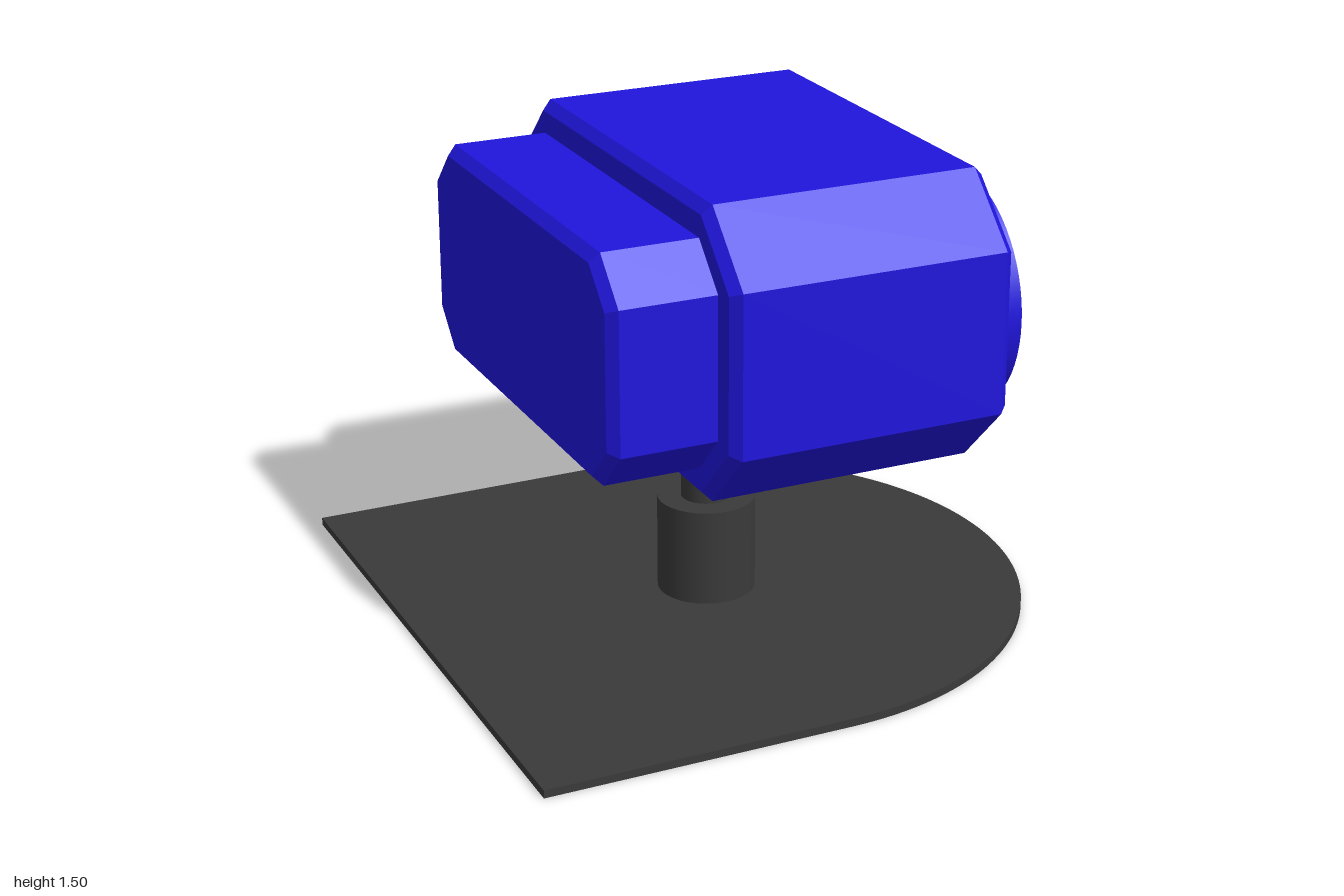
import * as THREE from 'three';

const blue = new THREE.MeshStandardMaterial({ color: 0x2015dd });
const teal = new THREE.MeshStandardMaterial({ color: 0x4f98ae });
const dark = new THREE.MeshStandardMaterial({ color: 0x393a39 });

function add(parent, name, geometry, material) {
  const mesh = new THREE.Mesh(geometry, material);
  mesh.name = name;
  parent.add(mesh);
  return mesh;
}

// Counter-clockwise rectangle with cut corners, every edge moved inward by d
function octagon(w, h, cw, ch, d) {
  const c = ch * w + cw * (h - ch) - d * Math.hypot(cw, ch);
  const W = w - d, H = h - d;
  const a = (c - cw * H) / ch, b = (c - ch * W) / cw;
  return [[W, -b], [W, b], [a, H], [-a, H], [-W, b], [-W, -b], [-a, -H], [a, -H]]
    .map(([x, y]) => new THREE.Vector2(x, y));
}

// Faceted skin through octagon sections given as [z, inset]
function octagonSkin(size, sections) {
  const pos = [], index = [];
  for (const [z, d] of sections) for (const p of octagon(...size, d)) pos.push(p.x, p.y, z);
  for (let s = 0; s < sections.length - 1; s++) {
    for (let i = 0; i < 8; i++) {
      const a = s * 8 + i, b = s * 8 + (i + 1) % 8;
      index.push(a, b, b + 8, a, b + 8, a + 8);
    }
  }
  const g = new THREE.BufferGeometry();
  g.setAttribute('position', new THREE.Float32BufferAttribute(pos, 3));
  g.setIndex(index);
  const flat = g.toNonIndexed();
  flat.computeVertexNormals();
  return flat;
}

// Flat end of an octagon block; facing = 1 or -1 along z
function octagonCap(size, inset, z, facing, holes = []) {
  const shape = new THREE.Shape(octagon(...size, inset));
  for (const [x, r] of holes) shape.holes.push(new THREE.Path().absarc(x, 0, r, 0, Math.PI * 2, true));
  const g = new THREE.ShapeGeometry(shape, 32);
  if (facing < 0) g.rotateY(Math.PI);
  return g.translate(0, 0, z);
}

// Revolved surface around the z axis from [radius, z] points
function turned(points) {
  return new THREE.LatheGeometry(points.map(([r, z]) => new THREE.Vector2(r, z)), 64).rotateX(Math.PI / 2);
}

export function createModel() {
  const model = new THREE.Group();

  // Base plate: square at the back, half round at the other end
  const plate = new THREE.Shape();
  plate.moveTo(-0.98, -1);
  plate.lineTo(-0.02, -1);
  plate.absarc(-0.02, 0, 1, -Math.PI / 2, Math.PI / 2, false);
  plate.lineTo(-0.98, 1);
  plate.closePath();
  const plateGeometry = new THREE.ExtrudeGeometry(plate, { depth: 0.025, bevelEnabled: false, curveSegments: 48 });
  add(model, 'basePlate', plateGeometry.rotateX(-Math.PI / 2), dark);

  // Post
  add(model, 'postSocket', new THREE.CylinderGeometry(0.155, 0.155, 0.315, 48), dark).position.set(-0.02, 0.1775, 0);
  add(model, 'postRod', new THREE.CylinderGeometry(0.08, 0.08, 0.32, 48), dark).position.set(-0.02, 0.46, 0);

  // Head, built along z and turned to look along x
  const head = new THREE.Group();
  head.name = 'head';
  head.position.y = 1.05;
  head.rotation.y = Math.PI / 2;
  model.add(head);

  const main = [0.8, 0.45, 0.2, 0.2];
  const rear = [0.7, 0.35, 0.125, 0.13];
  const bevel = 0.03, eyeX = 0.372;
  add(head, 'headShell', octagonSkin(main, [[-0.31, bevel], [-0.28, 0], [0.56, 0], [0.59, bevel]]), blue);
  add(head, 'headFace', octagonCap(main, bevel, 0.59, 1, [[-eyeX, 0.33], [eyeX, 0.33]]), blue);
  add(head, 'headBack', octagonCap(main, bevel, -0.31, -1), blue);
  add(head, 'rearShell', octagonSkin(rear, [[-0.64, bevel], [-0.61, 0], [-0.3, 0]]), blue);
  add(head, 'rearBack', octagonCap(rear, bevel, -0.64, -1), blue);

  // Pair of eyes with sunken lenses
  for (const side of [-1, 1]) {
    const eye = new THREE.Group();
    eye.name = side < 0 ? 'leftEye' : 'rightEye';
    eye.position.x = side * eyeX;
    head.add(eye);
    add(eye, 'eyeRim', turned([[0.367, 0.58], [0.367, 0.655]]), blue);
    add(eye, 'eyeRing', turned([[0.367, 0.655], [0.295, 0.655]]), teal);
    add(eye, 'eyeCone', turned([[0.295, 0.655], [0.165, 0.56]]), blue);
    add(eye, 'lensEdge', turned([[0.165, 0.56], [0.165, 0.54]]), teal);
    add(eye, 'lens', new THREE.CircleGeometry(0.165, 64), teal).position.z = 0.54;
  }
  return model;
}
